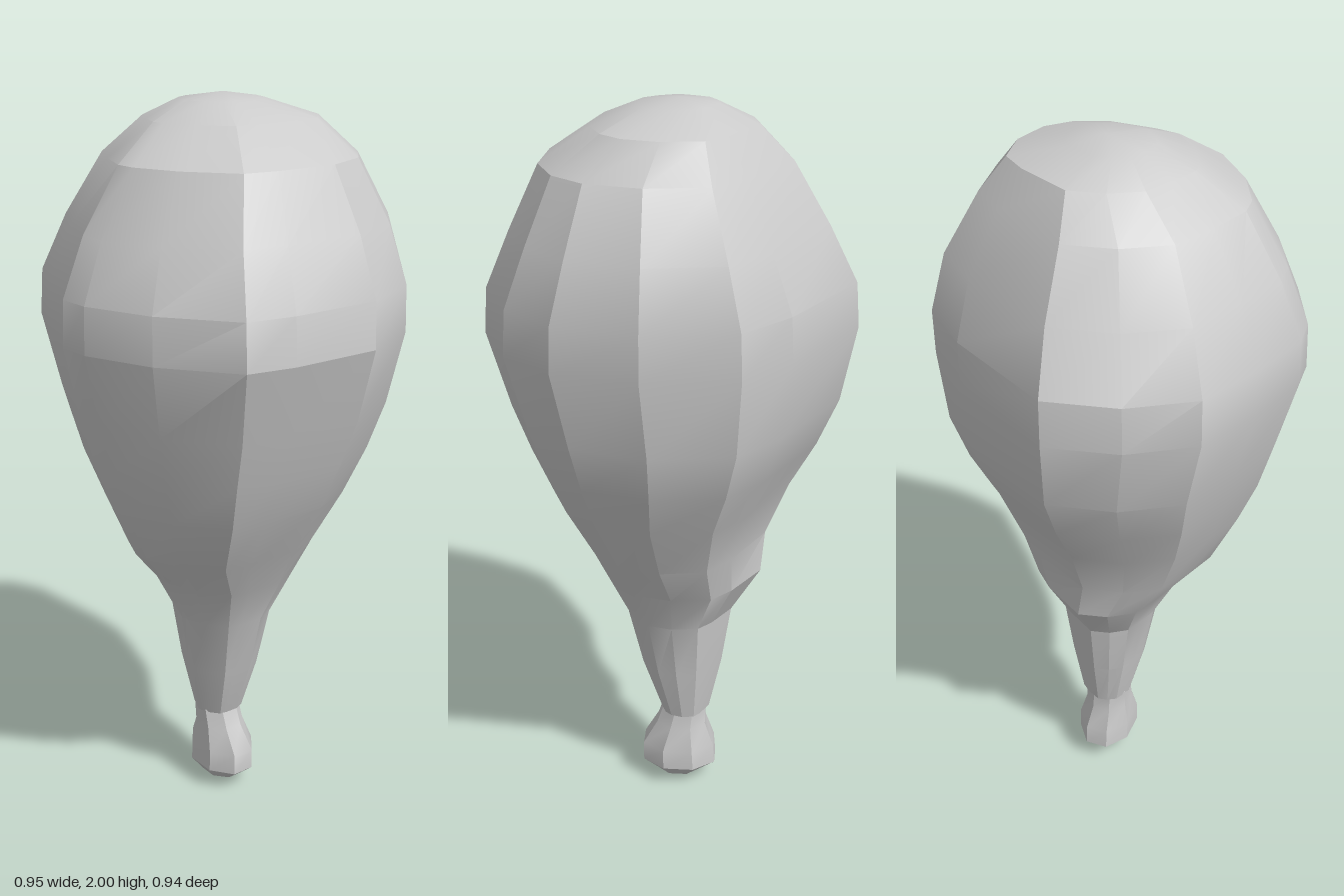
import * as THREE from 'three';
import { toCreasedNormals } from 'three/addons/utils/BufferGeometryUtils.js';

// Skin a stack of rings [y, xMin, xMax, zMin, zMax] shaped by a unit outline, capped at both ends
function loft(rings, outline, bottom, top, crease) {
  const n = outline.length, pos = [], index = [];
  for (const [y, x0, x1, z0, z1] of rings) {
    for (const [u, v] of outline) {
      pos.push((x0 + x1) / 2 + u * (x1 - x0) / 2, y, (z0 + z1) / 2 + v * (z1 - z0) / 2);
    }
  }
  const last = (rings.length - 1) * n, low = rings.length * n, high = low + 1;
  pos.push(...bottom, ...top);
  for (let j = 0; j < n; j++) {
    const k = (j + 1) % n;
    for (let r = 0; r < last; r += n) {
      index.push(r + j, r + n + j, r + k, r + k, r + n + j, r + n + k);
    }
    index.push(low, j, k, high, last + k, last + j);
  }
  const geometry = new THREE.BufferGeometry();
  geometry.setAttribute('position', new THREE.Float32BufferAttribute(pos, 3));
  geometry.setIndex(index);
  return toCreasedNormals(geometry, crease);
}

export function createModel() {
  const group = new THREE.Group();
  group.name = 'drumstick';
  const material = new THREE.MeshStandardMaterial({ color: 0xcccccc });

  // Irregular outline of the meat, seen from above
  const meatOutline = [
    [0.48, -0.13], [0.475, 0.12], [0.45, 0.25], [0.27, 0.39], [0.09, 0.465],
    [0, 0.47], [-0.17, 0.41], [-0.34, 0.33], [-0.44, 0.17], [-0.48, -0.02],
    [-0.31, -0.31], [-0.19, -0.44], [0.05, -0.475], [0.27, -0.42], [0.4, -0.31],
  ].map(([x, z]) => [x / 0.48, z / 0.473]);

  // Meat, from the narrow neck up to the rounded top
  const meatRings = [
    [0.24, -0.10, 0.035, -0.10, 0.04],
    [0.40, -0.135, 0.09, -0.13, 0.08],
    [0.57, -0.16, 0.13, -0.155, 0.11],
    [0.70, -0.24, 0.19, -0.22, 0.175],
    [0.81, -0.25, 0.245, -0.27, 0.27],
    [0.96, -0.31, 0.325, -0.34, 0.34],
    [1.09, -0.38, 0.375, -0.405, 0.39],
    [1.22, -0.435, 0.42, -0.445, 0.425],
    [1.42, -0.475, 0.48, -0.465, 0.475],
    [1.54, -0.465, 0.47, -0.468, 0.47],
    [1.69, -0.39, 0.405, -0.435, 0.41],
    [1.85, -0.295, 0.33, -0.345, 0.31],
    [1.94, -0.21, 0.20, -0.27, 0.19],
    [1.985, -0.11, 0.09, -0.13, 0.09],
  ];
  const meat = new THREE.Mesh(
    loft(meatRings, meatOutline, [-0.03, 0.245, -0.03], [-0.01, 2, -0.03], 0.36), material);
  meat.name = 'meat';
  group.add(meat);

  // Bone with a knobbly end
  const boneOutline = Array.from({ length: 8 }, (_, i) => {
    const a = (i + 0.5) * Math.PI / 4;
    return [Math.cos(a) * 1.08, Math.sin(a) * 1.08];
  });
  const boneRings = [
    [0.025, -0.075, 0.05, -0.085, 0.02],
    [0.06, -0.12, 0.09, -0.11, 0.045],
    [0.12, -0.115, 0.09, -0.11, 0.045],
    [0.19, -0.09, 0.05, -0.09, 0.035],
    [0.25, -0.09, 0.03, -0.085, 0.035],
  ];
  const bone = new THREE.Mesh(
    loft(boneRings, boneOutline, [-0.015, 0, -0.035], [-0.03, 0.25, -0.03], 0.6), material);
  bone.name = 'bone';
  group.add(bone);
  return group;
}
